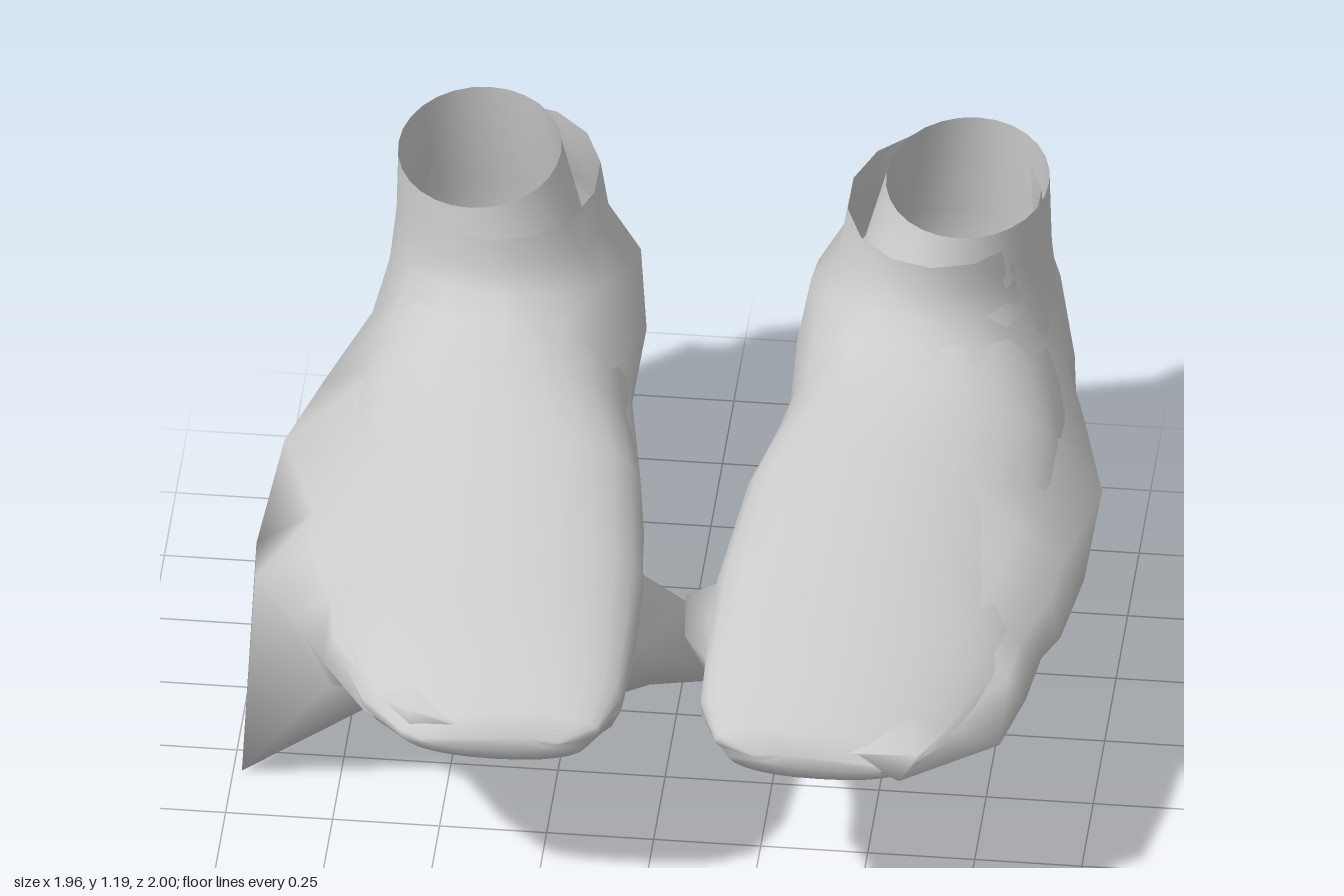
import * as THREE from 'three';

const AXIS = 0.05; // plane the two boots mirror about
const lightGrey = new THREE.MeshStandardMaterial({ color: 0xcccccc, side: THREE.DoubleSide });
lightGrey.name = 'lightGrey';

// Each section: top z, top y, bottom z, bottom y, inner u, outer u (u = distance from AXIS)
const liningSections = [
  [0.92, 0.57, 0.93, 0.54, 0.26, 0.55],
  [0.9, 0.625, 0.91, 0.5, 0.16, 0.6],
  [0.8, 0.68, 0.79, 0.455, 0.11, 0.7],
  [0.6, 0.725, 0.6, 0.43, 0.1, 0.79],
  [0.4, 0.78, 0.4, 0.42, 0.1, 0.82],
  [0.1, 0.85, 0.05, 0.43, 0.14, 0.85],
  [-0.1, 0.9, -0.25, 0.43, 0.18, 0.85],
  [-0.2, 0.94, -0.58, 0.43, 0.2, 0.82],
  [-0.26, 0.97, -0.8, 0.48, 0.21, 0.8],
  [-0.3, 1.02, -0.86, 0.68, 0.25, 0.78],
  [-0.32, 1.08, -0.82, 0.9, 0.33, 0.765],
  [-0.335, 1.17, -0.79, 1.19, 0.38, 0.76],
];
const shellSections = [
  [0.9, 0.58, 0.9, 0.56, 0.3, 0.45],
  [0.88, 0.61, 0.89, 0.51, 0.16, 0.58],
  [0.8, 0.66, 0.8, 0.46, 0.11, 0.7],
  [0.6, 0.71, 0.6, 0.41, 0.1, 0.82],
  [0.47, 0.75, 0.47, 0.39, 0.1, 0.84],
  [0.33, 0.78, 0.33, 0.38, 0.11, 0.89],
  [0.2, 0.81, 0.18, 0.39, 0.12, 0.91],
  [0.08, 0.85, -0.12, 0.39, 0.15, 0.89],
  [-0.1, 0.9, -0.58, 0.41, 0.19, 0.85],
  [-0.2, 0.95, -0.87, 0.47, 0.18, 0.82],
  [-0.25, 0.99, -0.97, 0.72, 0.2, 0.78],
  [-0.275, 1.05, -0.87, 0.93, 0.27, 0.75],
  [-0.28, 1.12, -0.86, 1.1, 0.29, 0.74],
];

// Lofts a boot; pulls drag single vertices [section, step] to a world point
function loft(sections, sides, mirror, pulls = []) {
  const pos = [], index = [];
  for (const [tz, ty, bz, by, u0, u1] of sections) {
    const round = tz < -0.22;
    const lean = THREE.MathUtils.clamp((tz + 0.25) * 0.3, 0, 0.1); // instep ridge sits inward
    for (let k = 0; k < sides; k++) {
      const a = (k / sides) * Math.PI * 2;
      const power = round ? 1 : Math.cos(a) > 0 ? 0.94 : 0.87; // round ankle, fuller sole
      const bend = (v) => Math.sign(v) * Math.pow(Math.abs(v), power);
      const c = bend(Math.cos(a)), s = bend(Math.sin(a));
      const f = (1 - c) / 2;
      const u = (u0 + u1) / 2 + (s * (u1 - u0)) / 2 - lean * Math.max(c, 0);
      pos.push(AXIS + mirror * u, ty + (by - ty) * f, tz + (bz - tz) * f);
    }
  }
  for (const [i, k, x, y, z] of pulls) pos.splice((i * sides + k) * 3, 3, x, y, z);
  const tri = (a, b, c) => (mirror > 0 ? index.push(a, b, c) : index.push(a, c, b));
  for (let i = 0; i < sections.length - 1; i++) {
    for (let k = 0; k < sides; k++) {
      const a = i * sides + k, b = i * sides + ((k + 1) % sides);
      tri(a, a + sides, b);
      tri(b, a + sides, b + sides);
    }
  }
  for (let k = 1; k < sides - 1; k++) tri(0, k, k + 1); // toe cap
  const geo = new THREE.BufferGeometry();
  geo.setAttribute('position', new THREE.Float32BufferAttribute(pos, 3));
  geo.setIndex(index);
  geo.computeVertexNormals();
  return geo;
}

// Steps round a 14-sided ring: 0 top, 3-4 outer side, 7 sole, 10-11 inner side
const leftPulls = [
  // ragged outer edge
  [1, 3, 0.67, 0.65, 1.0],
  [1, 4, 0.62, 0.53, 0.94],
  [2, 4, 0.84, 0.55, 0.8],
  [3, 4, 0.88, 0.54, 0.6],
  [4, 4, 0.9, 0.54, 0.42],
  [6, 4, 0.97, 0.58, 0.17],
  [7, 3, 0.98, 0.62, -0.13],
  [8, 3, 0.91, 0.65, -0.38],
  // inner nub
  [4, 10, 0.06, 0.5, 0.38],
  [5, 10, 0.05, 0.54, 0.27],
  [5, 9, 0.1, 0.37, 0.32],
  // heel
  [10, 6, 0.72, 0.72, -0.87],
  [10, 7, 0.6, 0.72, -0.97],
  [10, 8, 0.36, 0.72, -0.92],
];
const rightPulls = [
  [1, 3, -0.53, 0.64, 0.93],
  [4, 4, -0.85, 0.53, 0.44],
  // hanging spike and the sole dipping towards it
  [5, 5, -0.98, 0, 0.33],
  [5, 4, -0.95, 0.55, 0.32],
  [6, 4, -0.96, 0.56, 0.2],
  [4, 5, -0.76, 0.37, 0.48],
  [6, 5, -0.8, 0.36, 0.2],
  [5, 6, -0.66, 0.3, 0.33],
  [5, 7, -0.5, 0.31, 0.33],
  [5, 8, -0.25, 0.33, 0.33],
  [4, 6, -0.6, 0.355, 0.47],
  [4, 7, -0.46, 0.36, 0.47],
  [6, 6, -0.64, 0.34, 0.19],
  [6, 7, -0.48, 0.345, 0.19],
  // bridge to the other boot
  [5, 9, 0.24, 0.34, 0.3],
  [5, 10, 0.05, 0.53, 0.28],
  [4, 9, -0.02, 0.37, 0.4],
  [6, 9, -0.04, 0.37, 0.2],
  // outer bulge and heel
  [7, 3, -0.93, 0.62, -0.13],
  [8, 3, -0.86, 0.65, -0.33],
  [10, 6, -0.68, 0.72, -0.86],
  [10, 7, -0.52, 0.72, -1.0],
  [10, 8, -0.25, 0.72, -0.94],
];

export function createModel() {
  const group = new THREE.Group();
  group.name = 'pairOfBoots';
  for (const [side, mirror, pulls] of [['left', 1, leftPulls], ['right', -1, rightPulls]]) {
    const boot = new THREE.Group();
    boot.name = side + 'Boot';
    // smooth foot with the tall collar
    const lining = new THREE.Mesh(loft(liningSections, 28, mirror), lightGrey);
    lining.name = side + 'Lining';
    // coarser ragged cover with the short collar
    const shell = new THREE.Mesh(loft(shellSections, 14, mirror, pulls), lightGrey);
    shell.name = side + 'OuterShell';
    boot.add(lining, shell);
    group.add(boot);
  }
  return group;
}
